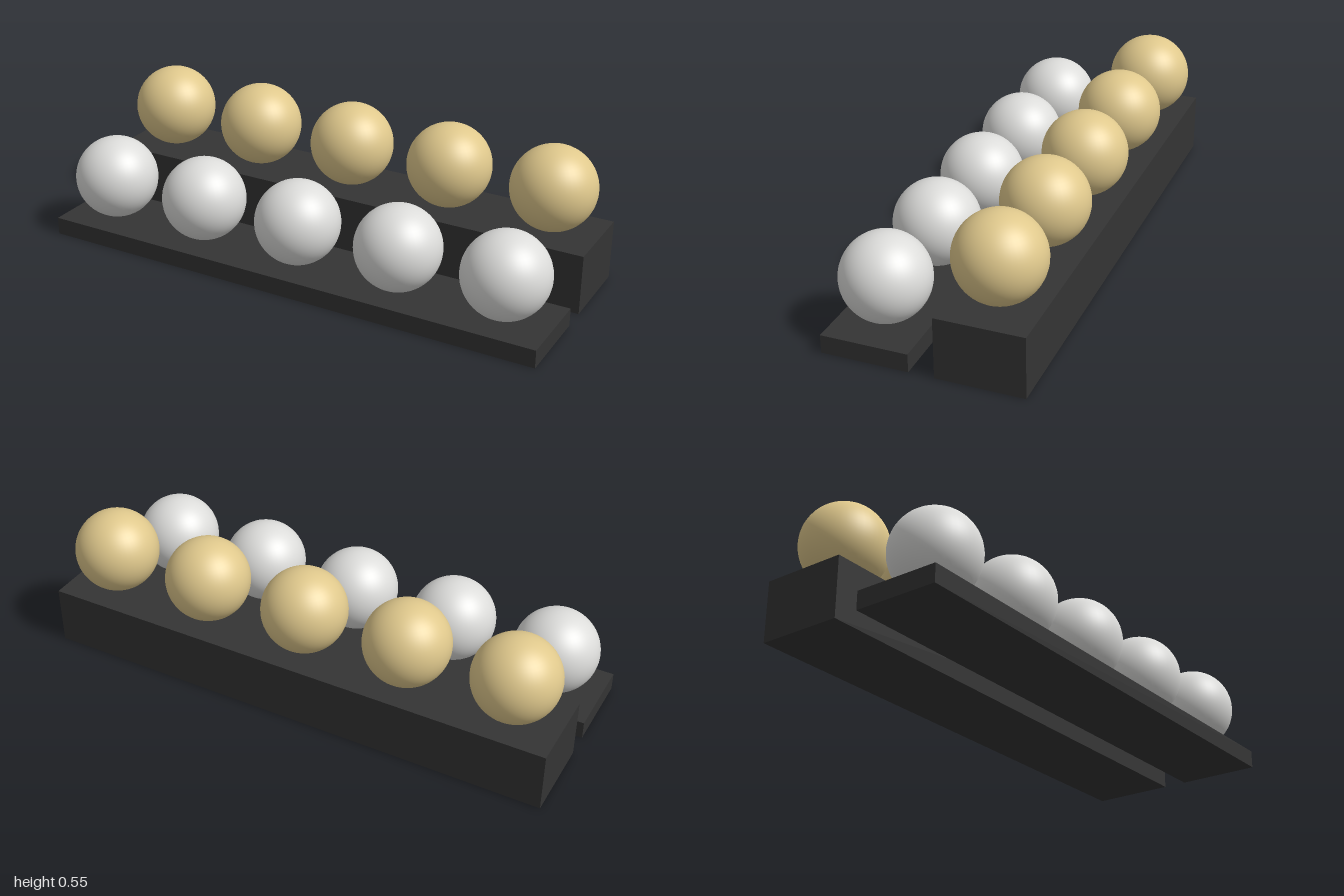
import * as THREE from 'three';

const RADIUS = 0.159;
const SPACING = 0.409;
const COUNT = 5;

function material(name, color) {
  const m = new THREE.MeshStandardMaterial({ color });
  m.name = name;
  return m;
}

// One row: a long plinth with evenly spaced balls resting on top
function createRow(name, z, height, plinthMaterial, ballMaterial, ballGeometry) {
  const row = new THREE.Group();
  row.name = name + 'Row';
  row.position.z = z;

  const plinth = new THREE.Mesh(new THREE.BoxGeometry(2, height, 0.318), plinthMaterial);
  plinth.name = name + 'Plinth';
  plinth.position.y = height / 2;
  row.add(plinth);

  for (let i = 0; i < COUNT; i++) {
    const ball = new THREE.Mesh(ballGeometry, ballMaterial);
    ball.name = name + 'Ball' + (i + 1);
    ball.position.set((i - (COUNT - 1) / 2) * SPACING, height + RADIUS, 0);
    row.add(ball);
  }
  return row;
}

export function createModel() {
  const charcoal = material('charcoal', 0x343434);
  const silver = material('silver', 0xdcdcda);
  const gold = material('gold', 0xdfc88c);
  const ballGeometry = new THREE.SphereGeometry(RADIUS, 48, 32);

  const model = new THREE.Group();
  model.name = 'steppedBallDisplay';
  model.add(
    createRow('front', 0.205, 0.068, charcoal, silver, ballGeometry),
    createRow('back', -0.205, 0.227, charcoal, gold, ballGeometry)
  );
  return model;
}
